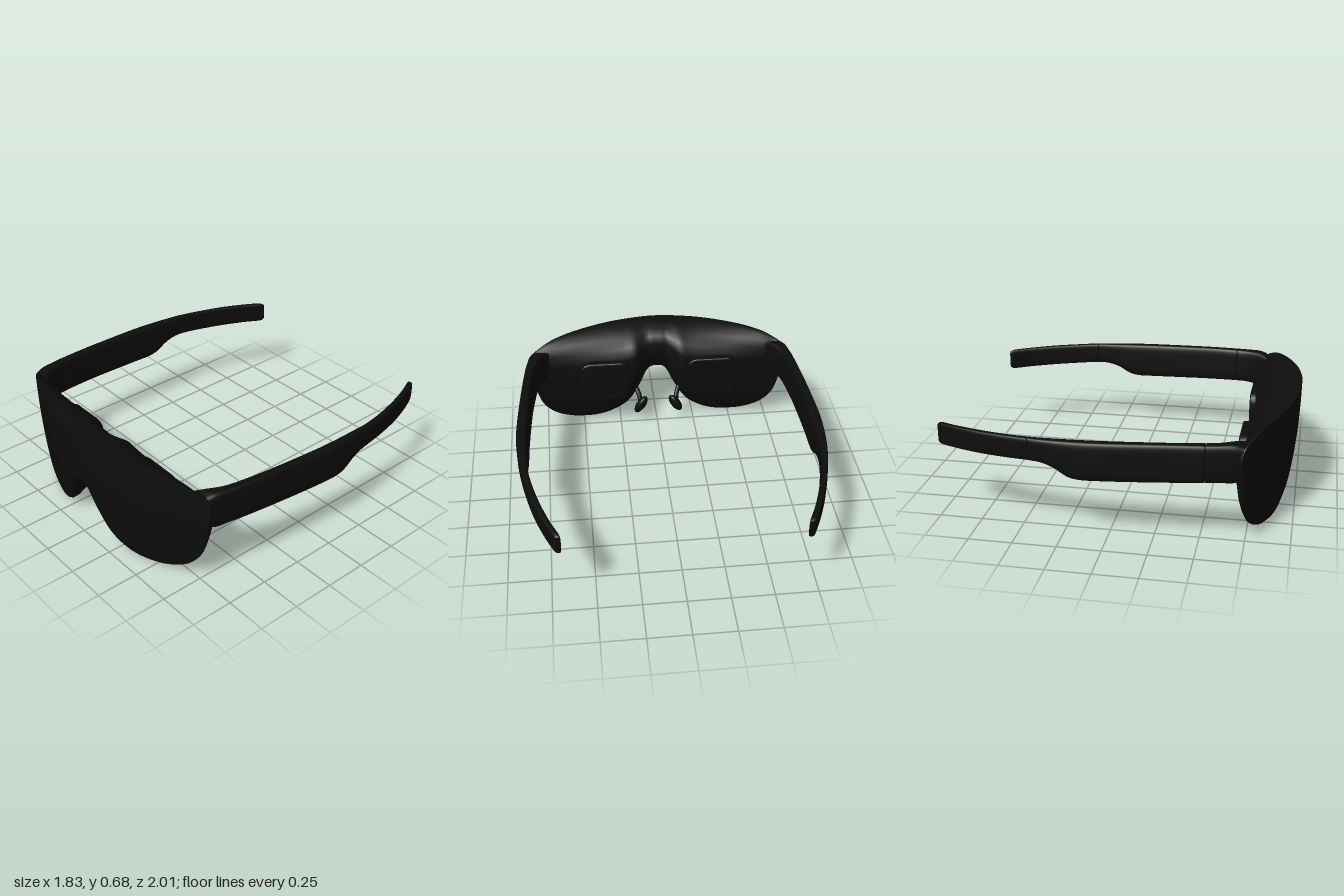
import * as THREE from 'three';

const V = (x, y, z) => new THREE.Vector3(x, y, z);
const spline = pts => new THREE.CatmullRomCurve3(pts.map(p => V(...p)), false, 'catmullrom', 0.5);

// Skin a list of equal-length rings; optional closed rings and flat end caps
function loft(rings, closed, caps) {
  const pos = [], idx = [], n = rings[0].length;
  rings.forEach(r => r.forEach(p => pos.push(p.x, p.y, p.z)));
  for (let i = 0; i < rings.length - 1; i++) {
    for (let j = 0; j < (closed ? n : n - 1); j++) {
      const a = i * n + j, b = i * n + (j + 1) % n;
      idx.push(a, b, b + n, a, b + n, a + n);
    }
  }
  if (caps) [rings[0], rings[rings.length - 1]].forEach((r, end) => {
    const base = pos.length / 3, c = V(0, 0, 0);
    r.forEach(p => { pos.push(p.x, p.y, p.z); c.addScaledVector(p, 1 / n); });
    pos.push(c.x, c.y, c.z);
    for (let j = 0; j < n; j++) {
      const a = base + j, b = base + (j + 1) % n;
      if (end) idx.push(base + n, a, b); else idx.push(base + n, b, a);
    }
  });
  const g = new THREE.BufferGeometry();
  g.setAttribute('position', new THREE.Float32BufferAttribute(pos, 3));
  g.setIndex(idx);
  g.computeVertexNormals();
  return g;
}

// Visor outline, one half: x, top y, bottom y
const half = [
  [0, .682, .335], [.035, .682, .332], [.07, .681, .3], [.12, .679, .2], [.2, .676, .08],
  [.3, .672, .02], [.4, .666, 0], [.5, .659, .008], [.6, .65, .035], [.7, .633, .09],
  [.77, .607, .17], [.805, .59, .26], [.828, .572, .38], [.84, .55, .46], [.844, .52, .49],
];
const outline = spline([...half.slice(1).reverse().map(([x, t, b]) => [-x, t, b]), ...half]);

// Cross-section of the visor: height fraction, depth fraction (0 front, 1 back)
const frontProfile = [[1, 0], [.9, 0], [.75, 0], [.6, 0], [.45, 0], [.3, 0], [.18, 0], [.08, 0], [.02, .03], [0, .1]];
const backProfile = [[0, .1], [.01, .28], [.05, .47], [.13, .7], [.3, .9], [.5, 1], [.72, 1], [.85, .88],
  [.93, .65], [.975, .38], [1, .16], [1, 0]];

function visorRings(profile) {
  return Array.from({ length: 113 }, (_, i) => {
    const { x, y: top, z: bot } = outline.getPoint(i / 112);
    return profile.map(([v, d]) => {
      const y = bot + (top - bot) * v;
      const front = 1 - .37 * x * x - .05 * ((top - y) / .68) ** 2;
      const nose = 1 - THREE.MathUtils.smoothstep(Math.abs(x), .05, .17);
      const back = Math.min(.72 + .07 * nose, front - .05);
      return V(x, y, front + (back - front) * d);
    });
  });
}

// Temple arm stations: z, inner x, outer x, top y, bottom y
const stations = [
  [.74, .71, .838, .592, .4], [.69, .75, .85, .602, .382], [.62, .784, .862, .6, .385], [.54, .803, .873, .598, .383],
  [.35, .826, .89, .594, .376], [.15, .838, .904, .588, .368], [-.02, .845, .913, .583, .362], [-.13, .846, .914, .58, .36],
  [-.2, .846, .91, .578, .374], [-.27, .845, .904, .576, .415], [-.34, .844, .896, .574, .438], [-.42, .84, .884, .572, .443],
  [-.56, .814, .855, .566, .437], [-.72, .77, .812, .56, .43], [-.87, .716, .756, .553, .424], [-.975, .668, .707, .547, .42],
  [-1, .663, .692, .537, .43],
];
const xCurve = spline(stations.map(s => [s[0], s[1], s[2]]));
const yCurve = spline(stations.map(s => [s[0], s[3], s[4]]));

function templeGeometry(from, to, side) {
  const last = stations.length - 1, steps = Math.ceil((to - from) * 5), rings = [];
  const round = c => Math.sign(c) * Math.abs(c) ** .42;
  for (let i = 0; i <= steps; i++) {
    const t = (from + (to - from) * i / steps) / last;
    const a = xCurve.getPoint(t), b = yCurve.getPoint(t), ring = [];
    for (let j = 0; j < 36; j++) {
      const w = -j / 36 * Math.PI * 2;
      ring.push(V(
        side * ((a.y + a.z) / 2 + round(Math.cos(w)) * (a.z - a.y) / 2),
        (b.y + b.z) / 2 + round(Math.sin(w)) * (b.y - b.z) / 2, a.x));
    }
    rings.push(side > 0 ? ring : ring.reverse());
  }
  return loft(rings, true, true);
}

// Raised eyepiece with a softly rounded four-sided outline
function eyepieceGeometry() {
  const s = new THREE.Shape(), w = .15, h = .13, r = .06;
  s.moveTo(-w + r, -h);
  s.lineTo(w - r, -h);
  s.quadraticCurveTo(w, -h, w, -h + r);
  s.lineTo(w, h - r);
  s.quadraticCurveTo(w, h, w - r, h);
  s.lineTo(-w + r, h);
  s.quadraticCurveTo(-w, h, -w, h - r);
  s.lineTo(-w, -h + r);
  s.quadraticCurveTo(-w, -h, -w + r, -h);
  return new THREE.ExtrudeGeometry(s, { depth: .06, bevelThickness: .012, bevelSize: .012, bevelSegments: 3, curveSegments: 8 });
}

export function createModel() {
  const black = new THREE.MeshStandardMaterial({ color: 0x0d0d0d });
  black.name = 'black';
  const model = new THREE.Group();
  model.name = 'smartGlasses';
  const glasses = new THREE.Group();
  glasses.name = 'glasses';
  glasses.rotation.y = -.01;
  model.add(glasses);

  const add = (name, geometry) => {
    const m = new THREE.Mesh(geometry, black);
    m.name = name;
    glasses.add(m);
    return m;
  };

  // Front lens and the housing behind it
  add('frontLens', loft(visorRings(frontProfile), false, false));
  add('rearHousing', loft(visorRings(backProfile), false, true));

  for (const side of [1, -1]) {
    const label = side > 0 ? 'left' : 'right';

    // Temple in three pieces with fine seams between them
    const gap = .02;
    add(label + 'Hinge', templeGeometry(0, 3 - gap, side));
    add(label + 'Temple', templeGeometry(3 + gap, 11 - gap, side));
    add(label + 'TempleTip', templeGeometry(11 + gap, 16, side));

    // Eyepiece on the back of the housing
    add(label + 'Eyepiece', eyepieceGeometry()).position.set(side * .355, .37, .695);

    // Nose pad and its arm
    const pad = add(label + 'NosePad', new THREE.SphereGeometry(1, 28, 18));
    pad.scale.set(.03, .074, .045);
    pad.position.set(side * .118, .138, .742);
    pad.rotation.set(.15, side * -.6, side * .55);
    const arm = new THREE.CatmullRomCurve3([
      V(side * .15, .24, .82), V(side * .13, .2, .78), V(side * .12, .15, .75)]);
    add(label + 'NosePadArm', new THREE.TubeGeometry(arm, 12, .016, 10));
  }
  return model;
}
